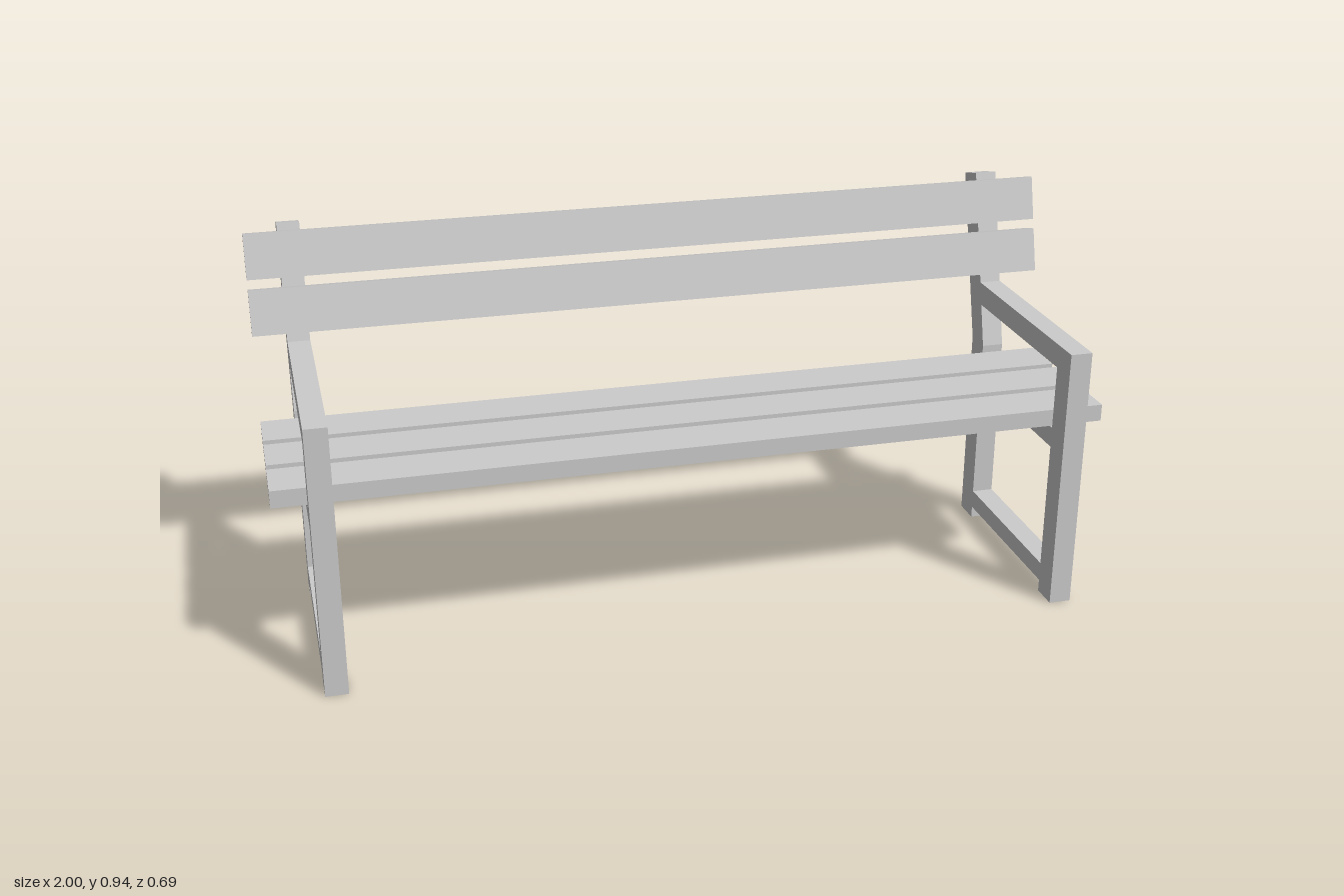
import * as THREE from 'three';

const MATERIAL = new THREE.MeshStandardMaterial({ color: 0xcccccc, flatShading: true });
const LENGTH = 2;
const FRAME_X = 0.892;
const FRAME_WIDTH = 0.054;
const LEAN = THREE.MathUtils.degToRad(15);

const points = (list) => list.map(([z, y]) => new THREE.Vector2(z, y));

// Side frame: legs, rails, armrest and leaning back post, drawn as (z, y)
function frameGeometry() {
  const shape = new THREE.Shape(points([
    [0.345, 0], [0.345, 0.662], [-0.2, 0.662], [-0.274, 0.937], [-0.343, 0.92],
    [-0.227, 0.5], [-0.227, 0], [-0.157, 0], [-0.157, 0.03], [0.277, 0.03], [0.277, 0],
  ]));
  // Opening between the lower rail and the seat rail
  shape.holes.push(new THREE.Path(points([
    [0.277, 0.077], [0.277, 0.397], [-0.157, 0.397], [-0.157, 0.077],
  ])));
  // Opening between the seat rail and the armrest
  shape.holes.push(new THREE.Path(points([
    [0.277, 0.447], [0.277, 0.605], [-0.185, 0.605], [-0.157, 0.5], [-0.157, 0.447],
  ])));
  const geometry = new THREE.ExtrudeGeometry(shape, { depth: FRAME_WIDTH, bevelEnabled: false });
  geometry.rotateY(-Math.PI / 2);
  geometry.translate(FRAME_WIDTH / 2, 0, 0);
  return geometry;
}

// Full-length plank centred at (y, z)
function slat(name, height, depth, y, z, tilt = 0) {
  const mesh = new THREE.Mesh(new THREE.BoxGeometry(LENGTH, height, depth), MATERIAL);
  mesh.name = name;
  mesh.position.set(0, y, z);
  mesh.rotation.x = tilt;
  return mesh;
}

export function createModel() {
  const bench = new THREE.Group();
  bench.name = 'bench';

  // Two matching side frames
  const geometry = frameGeometry();
  for (const [name, side] of [['leftFrame', 1], ['rightFrame', -1]]) {
    const frame = new THREE.Mesh(geometry, MATERIAL);
    frame.name = name;
    frame.position.x = side * FRAME_X;
    bench.add(frame);
  }

  // Three flat seat slats
  [0.205, 0.063, -0.079].forEach((z, i) => {
    bench.add(slat(`seatSlat${i + 1}`, 0.042, 0.119, 0.468, z));
  });

  // Two backrest slats lying against the leaning posts
  bench.add(slat('lowerBackSlat', 0.109, 0.043, 0.7435, -0.198, -LEAN));
  bench.add(slat('upperBackSlat', 0.109, 0.043, 0.8725, -0.2325, -LEAN));

  return bench;
}
